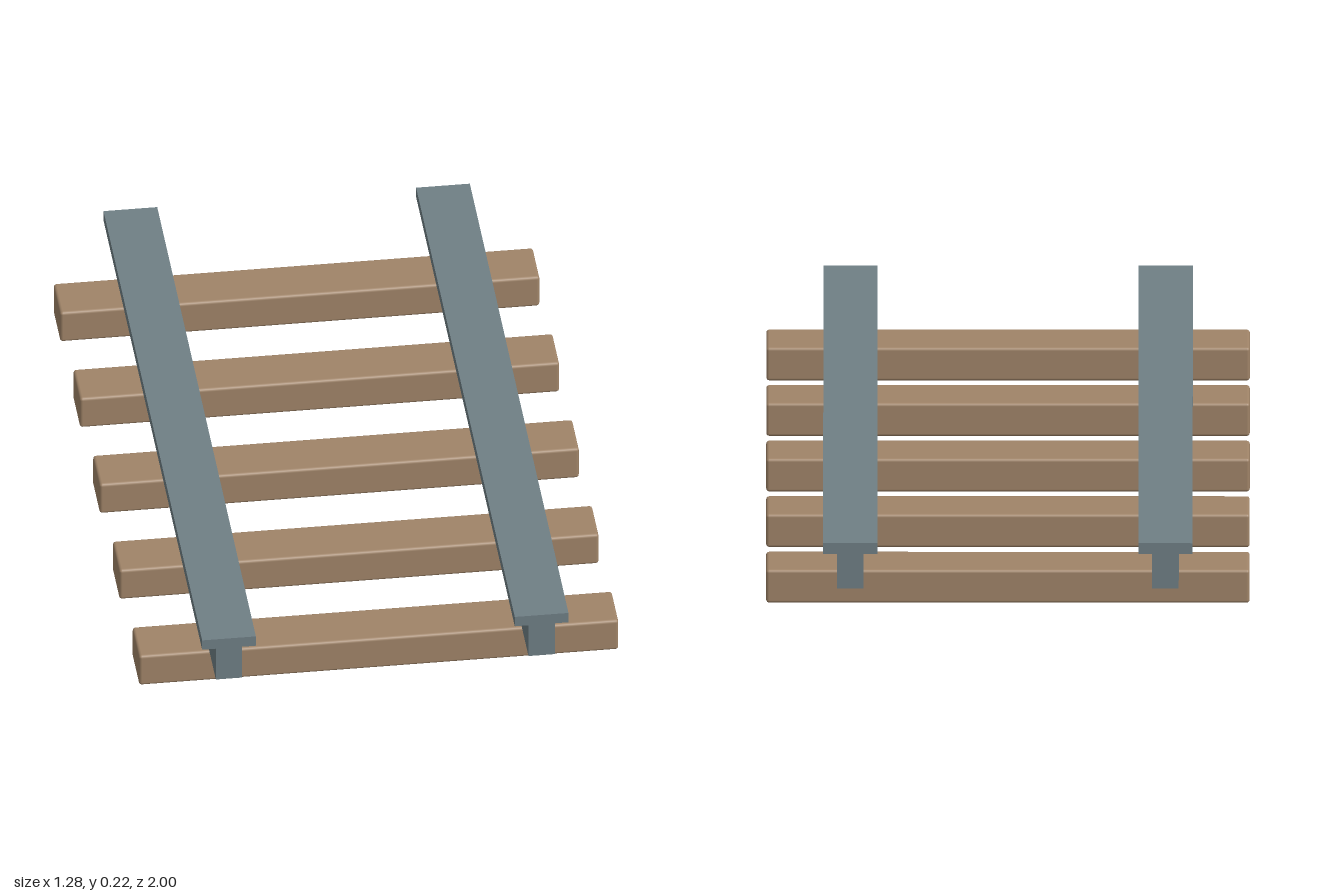
import * as THREE from 'three';
import { RoundedBoxGeometry } from 'three/addons/geometries/RoundedBoxGeometry.js';

export function createModel() {
  const group = new THREE.Group();
  group.name = 'railTrack';

  const wood = new THREE.MeshStandardMaterial({ color: 0xa08468 });
  wood.name = 'wood';
  const steel = new THREE.MeshStandardMaterial({ color: 0x6f7f85 });
  steel.name = 'steel';

  const add = (name, geometry, material, x, y, z) => {
    const mesh = new THREE.Mesh(geometry, material);
    mesh.name = name;
    mesh.position.set(x, y, z);
    group.add(mesh);
  };

  // Wooden sleepers with slightly softened edges
  const sleeper = new RoundedBoxGeometry(1.276, 0.094, 0.14, 2, 0.008);
  for (let i = -2; i <= 2; i++) add('sleeper', sleeper, wood, 0, 0.051, i * 0.4);

  // Two T-section rails: narrow web below, wide head on top
  const web = new THREE.BoxGeometry(0.07, 0.1, 2);
  const head = new THREE.BoxGeometry(0.143, 0.03, 2);
  for (const [side, sign] of [['left', 1], ['right', -1]]) {
    add(side + 'RailWeb', web, steel, sign * 0.416, 0.147, 0);
    add(side + 'RailHead', head, steel, sign * 0.416, 0.211, 0);
  }

  return group;
}
